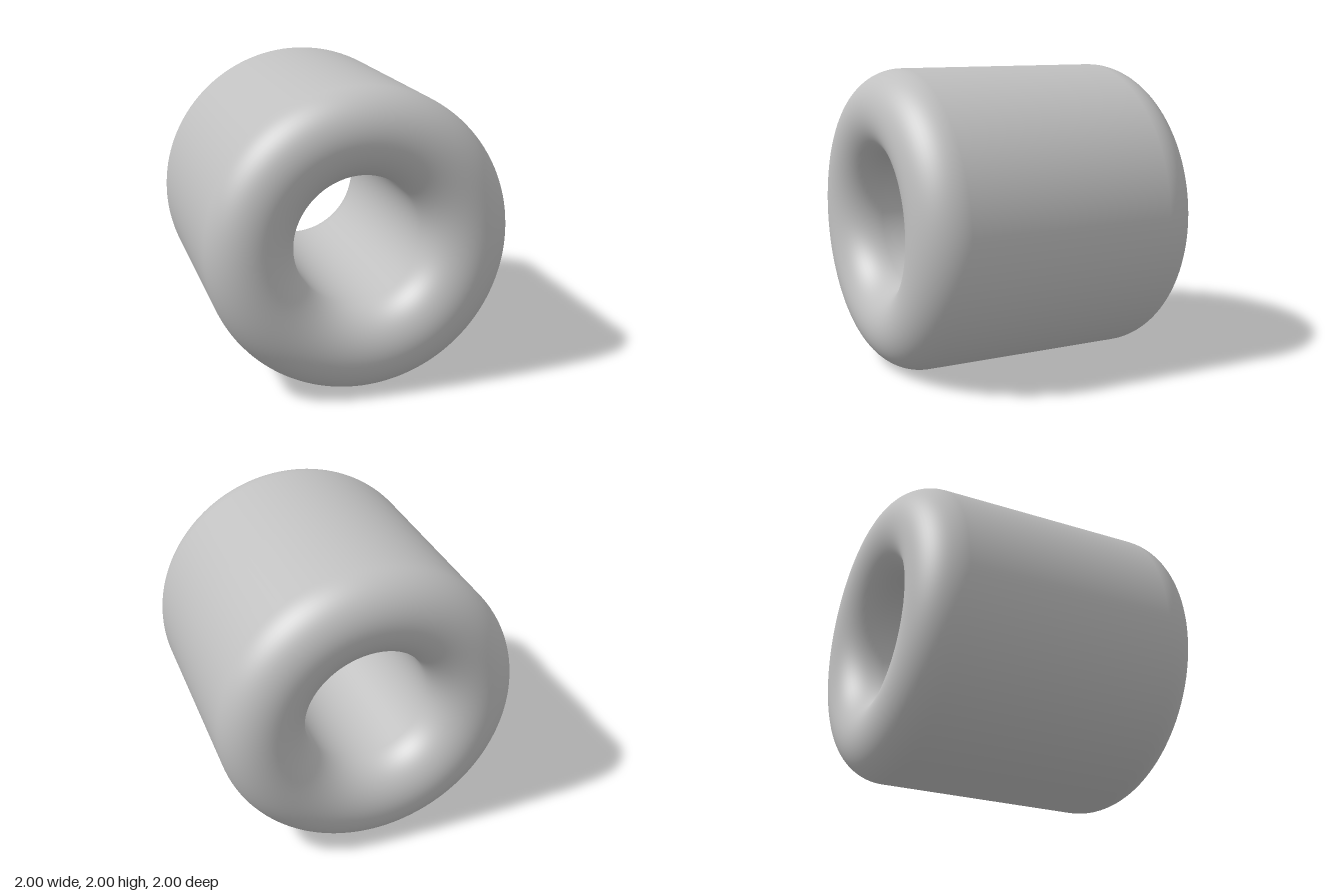
import * as THREE from 'three';

const OUTER = 1, BORE = 0.43, HALF_LENGTH = 1;

export function createModel() {
  const group = new THREE.Group();
  group.name = 'tubeBead';
  const grey = new THREE.MeshStandardMaterial({ color: 0xc0c0c0 });
  grey.name = 'grey';

  // Wall cross-section: straight sides joined by a full half-round at each end
  const r = (OUTER - BORE) / 2, mid = (OUTER + BORE) / 2, straight = HALF_LENGTH - r;
  const steps = 32;
  const profile = [new THREE.Vector2(OUTER, 0)];
  for (const end of [1, -1]) {
    for (let i = 0; i <= steps; i++) {
      const a = (i / steps) * Math.PI + (end > 0 ? 0 : Math.PI);
      profile.push(new THREE.Vector2(mid + r * Math.cos(a), end * straight + r * Math.sin(a)));
    }
  }
  profile.push(new THREE.Vector2(OUTER, 0));

  // Revolve, then lay the axis along z
  const geometry = new THREE.LatheGeometry(profile, 128);
  geometry.rotateX(Math.PI / 2);
  const body = new THREE.Mesh(geometry, grey);
  body.name = 'roundedTube';
  body.position.y = OUTER;
  group.add(body);
  return group;
}
